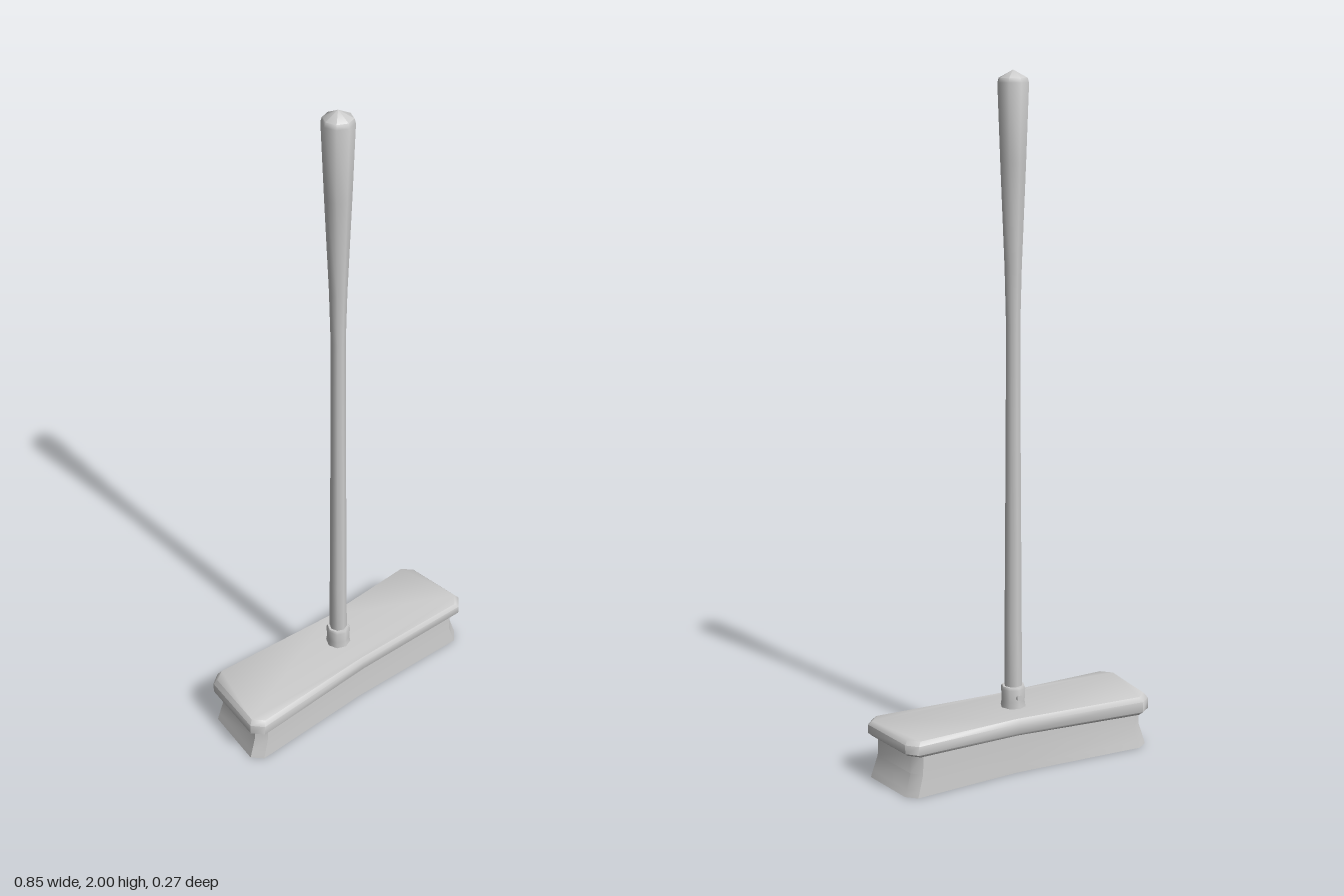
import * as THREE from 'three';
import { toCreasedNormals } from 'three/addons/utils/BufferGeometryUtils.js';

const material = new THREE.MeshStandardMaterial({ color: 0xcccccc });

// Hand-cut, slightly irregular outline of the head as [x, z], anticlockwise from above
const outline = [
  [-0.427, 0.1], [-0.397, 0.132], [0, 0.115], [0.395, 0.124], [0.424, 0.092],
  [0.401, -0.1], [0.373, -0.13], [0.04, -0.11], [-0.375, -0.135], [-0.409, -0.11],
];

// Stacks scaled copies of the outline; each layer is { y, tilt, x, z } with end caps
function loft(layers, crease) {
  const positions = [], index = [], n = outline.length;
  for (const { y, tilt = 0, x, z } of layers) {
    for (const [px, pz] of outline) positions.push(px * x, y + px * tilt, pz * z);
  }
  for (let k = 0; k < layers.length - 1; k++) {
    for (let i = 0; i < n; i++) {
      const a = k * n + i, b = k * n + (i + 1) % n;
      index.push(a, b, b + n, a, b + n, a + n);
    }
  }
  const caps = THREE.ShapeUtils.triangulateShape(outline.map(([x, z]) => new THREE.Vector2(x, -z)), []);
  const top = (layers.length - 1) * n;
  for (const [a, b, c] of caps) index.push(a + top, b + top, c + top, a, c, b);
  const geometry = new THREE.BufferGeometry();
  geometry.setAttribute('position', new THREE.Float32BufferAttribute(positions, 3));
  geometry.setIndex(index);
  return toCreasedNormals(geometry, crease);
}

// Eight-sided turned part from [radius, y] points
function turned(points, crease) {
  const profile = points.map(([r, y]) => new THREE.Vector2(r, y));
  return toCreasedNormals(new THREE.LatheGeometry(profile, 8), crease);
}

export function createModel() {
  const group = new THREE.Group();
  const add = (name, geometry, x = 0, y = 0, z = 0) => {
    const mesh = new THREE.Mesh(geometry, material);
    mesh.name = name;
    mesh.position.set(x, y, z);
    group.add(mesh);
    return mesh;
  };

  // Board with softened upper and lower edges
  add('headBoard', loft([
    { y: 0.115, tilt: 0.02, x: 0.975, z: 0.94 },
    { y: 0.124, tilt: 0.02, x: 1, z: 1 },
    { y: 0.153, tilt: 0.012, x: 1, z: 1 },
    { y: 0.166, tilt: 0.008, x: 0.975, z: 0.93 },
  ], 0.9));

  // Bristle block, waisted below the board and flaring to the floor
  add('bristles', loft([
    { y: 0, x: 0.995, z: 0.91 },
    { y: 0.02, x: 0.98, z: 0.9 },
    { y: 0.065, x: 0.945, z: 0.87 },
    { y: 0.118, tilt: 0.02, x: 0.94, z: 0.86 },
  ], 0.7));

  // Collar that holds the handle, with its fixing screw at the back
  add('collar', turned([
    [0.039, 0.16], [0.035, 0.185], [0.037, 0.222], [0.034, 0.23], [0.02, 0.23],
  ], 0.9), -0.004);
  const screw = add('collarScrew', new THREE.CylinderGeometry(0.009, 0.009, 0.008, 8), -0.004, 0.2, -0.036);
  screw.rotation.x = Math.PI / 2;

  // Long handle, swelling towards a pointed grip
  add('handle', turned([
    [0.027, 0.17], [0.026, 0.4], [0.022, 1.0], [0.021, 1.3], [0.025, 1.46],
    [0.037, 1.75], [0.045, 1.965], [0.041, 1.978], [0, 2],
  ], 0.9), -0.004);

  return group;
}
